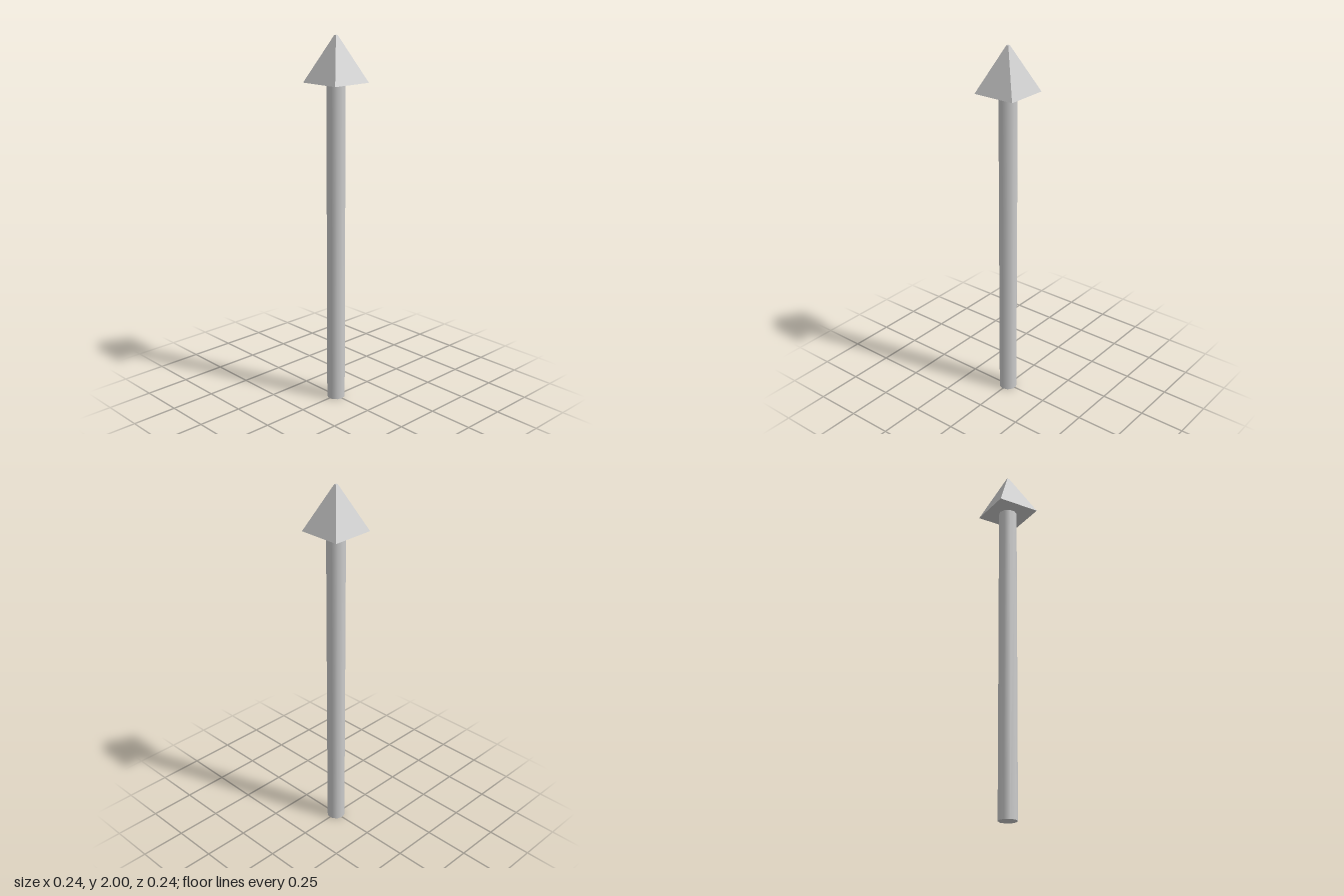
import * as THREE from 'three';

const SHAFT_HEIGHT = 1.76;
const SHAFT_RADIUS = 0.05;
const HEAD_HALF_WIDTH = 0.119;
const TIP_HALF_WIDTH = 0.006;
const HEAD_HEIGHT = 2 - SHAFT_HEIGHT;

export function createModel() {
  const model = new THREE.Group();
  model.name = 'arrowPost';

  // Smooth ten-sided shaft standing on the ground
  const shaft = new THREE.Mesh(
    new THREE.CylinderGeometry(SHAFT_RADIUS, SHAFT_RADIUS, SHAFT_HEIGHT, 10),
    new THREE.MeshStandardMaterial({ color: 0xcccccc })
  );
  shaft.name = 'shaft';
  shaft.position.y = SHAFT_HEIGHT / 2;
  model.add(shaft);

  // Square pyramid head with a tiny blunt tip, sides facing the axes
  const head = new THREE.Mesh(
    new THREE.CylinderGeometry(
      TIP_HALF_WIDTH * Math.SQRT2, HEAD_HALF_WIDTH * Math.SQRT2, HEAD_HEIGHT, 4
    ).rotateY(Math.PI / 4),
    new THREE.MeshStandardMaterial({ color: 0xcccccc, flatShading: true })
  );
  head.name = 'pyramidHead';
  head.position.y = SHAFT_HEIGHT + HEAD_HEIGHT / 2;
  model.add(head);

  return model;
}
